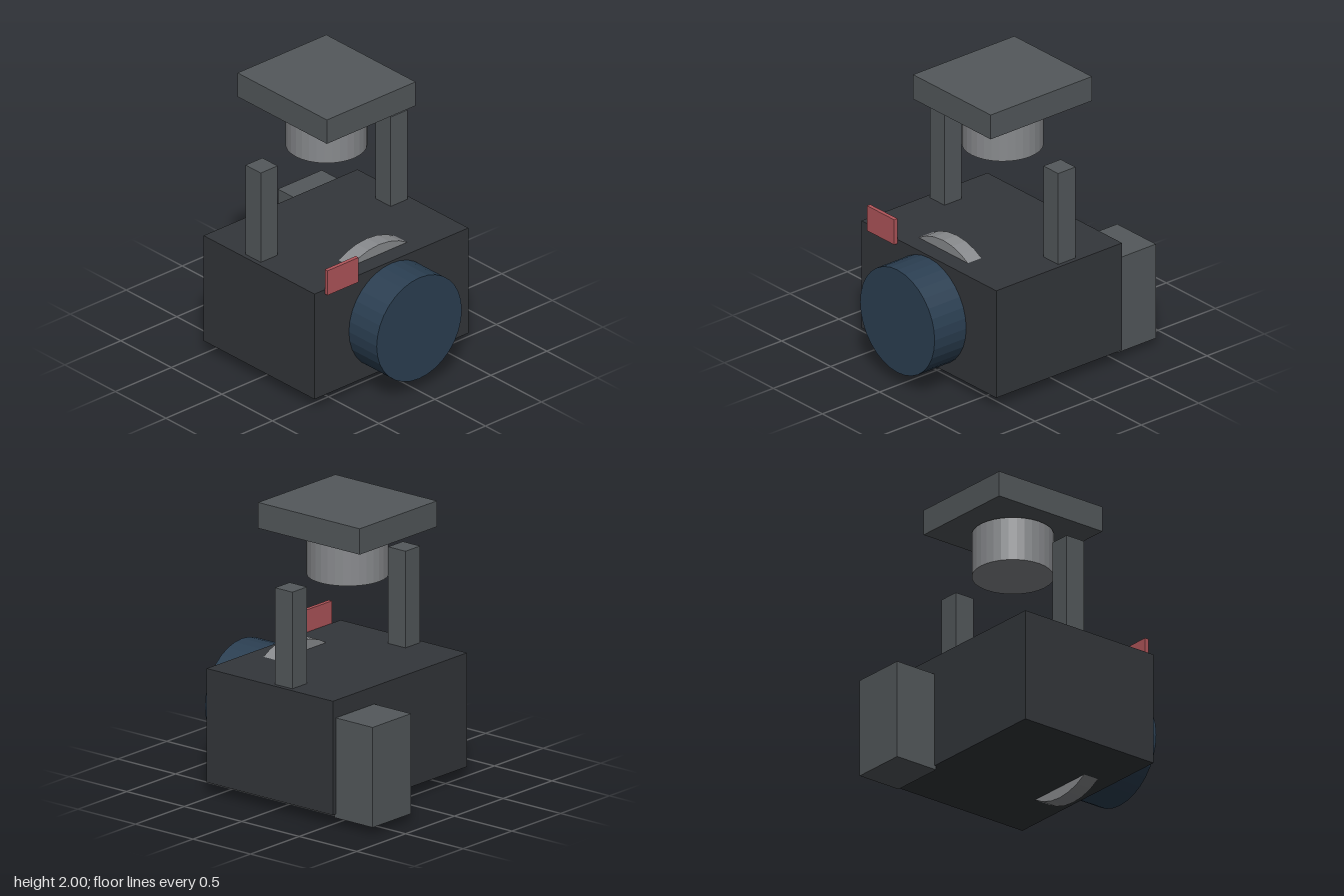
import * as THREE from 'three';

const material = (color) => new THREE.MeshStandardMaterial({ color, flatShading: true });

export function createModel() {
  const group = new THREE.Group();
  const dark = material(0x33363a);
  const grey = material(0x53585b);
  const metal = material(0x888a8d);
  const blue = material(0x2b3f52);
  const red = material(0xb0555a);

  const add = (name, geometry, mat, x, y, z) => {
    const mesh = new THREE.Mesh(geometry, mat);
    mesh.name = name;
    mesh.position.set(x, y, z);
    group.add(mesh);
    return mesh;
  };
  // Box given by its extents on each axis
  const box = (name, mat, [x0, x1], [y0, y1], [z0, z1]) =>
    add(name, new THREE.BoxGeometry(x1 - x0, y1 - y0, z1 - z0), mat,
      (x0 + x1) / 2, (y0 + y1) / 2, (z0 + z1) / 2);
  // Disc lying along the x axis
  const disc = (name, mat, radius, x0, x1, y) => {
    const geometry = new THREE.CylinderGeometry(radius, radius, x1 - x0, 32);
    geometry.rotateZ(-Math.PI / 2);
    return add(name, geometry, mat, (x0 + x1) / 2, y, 0);
  };

  // Main housing with the rear pack
  box('housing', dark, [-0.527, 0.57], [0.08, 0.873], [-0.687, 0.687]);
  box('rearPack', grey, [-0.847, -0.515], [0.053, 0.75], [-0.657, -0.264]);

  // Lens, the ring cutting through the housing, and the side tab
  disc('lens', blue, 0.38, 0.5, 0.845, 0.477);
  disc('ring', metal, 0.472, 0.328, 0.446, 0.475);
  box('tab', red, [0.572, 0.6], [0.843, 1.028], [0.32, 0.597]);

  // Upright arms on both sides
  for (const side of [-1, 1]) {
    const arm = box(side > 0 ? 'frontArm' : 'backArm', grey,
      [-0.147, 0.003], [0.86, 1.546], [0.505, 0.655]);
    arm.position.z *= side;
  }

  // Overhead mount: motor and plate
  add('motor', new THREE.CylinderGeometry(0.273, 0.273, 0.308, 32), metal, -0.073, 1.654, 0);
  box('mountPlate', grey, [-0.513, 0.37], [1.82, 2], [-0.396, 0.396]);

  return group;
}
